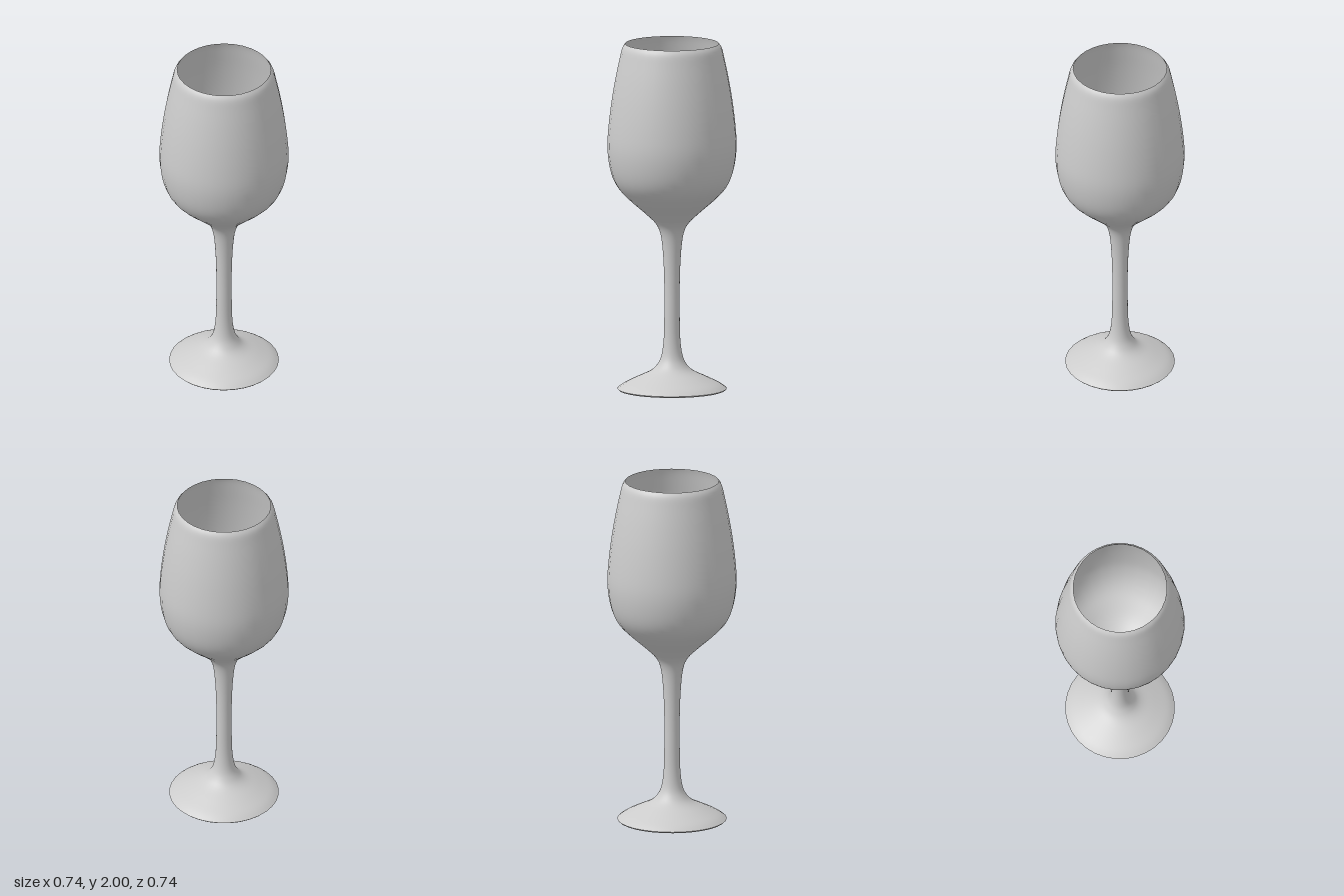
import * as THREE from 'three';

const SIDES = 32;
const material = new THREE.MeshStandardMaterial({ color: 0xcccccc });

// Revolves a smooth curve through [radius, height] points
function turned(name, profile, steps) {
  const pts = profile.map(([r, y]) => new THREE.Vector2(r, y));
  const curve = steps ? new THREE.SplineCurve(pts).getPoints(steps) : pts;
  curve.forEach((p) => { p.x = Math.max(p.x, 0); });
  const mesh = new THREE.Mesh(new THREE.LatheGeometry(curve, SIDES), material);
  mesh.name = name;
  return mesh;
}

export function createModel() {
  const glass = new THREE.Group();
  glass.name = 'wineGlass';

  // Flat underside and thin edge of the foot
  glass.add(turned('footUnderside', [[0, 0], [0.305, 0]]));
  glass.add(turned('footEdge', [[0.305, 0], [0.313, 0.008]]));

  // Foot sweeping up into the stem, which flares under the bowl
  glass.add(turned('footAndStem', [
    [0.313, 0.008], [0.275, 0.035], [0.2, 0.072], [0.125, 0.108], [0.085, 0.145], [0.06, 0.2],
    [0.047, 0.3], [0.044, 0.45], [0.044, 0.6], [0.049, 0.75], [0.06, 0.87], [0.078, 0.935], [0.108, 0.978],
  ], 48));

  // Outer wall of the bowl, narrowing to the rim
  glass.add(turned('bowlOuter', [
    [0.108, 0.978], [0.165, 1.03], [0.245, 1.1], [0.302, 1.16], [0.338, 1.225], [0.36, 1.31],
    [0.369, 1.41], [0.362, 1.53], [0.345, 1.67], [0.323, 1.8], [0.3, 1.91], [0.285, 1.972], [0.267, 2],
  ], 48));

  // Inner wall of the bowl, from the rim down to a rounded bottom
  glass.add(turned('bowlInner', [
    [0.267, 2], [0.277, 1.968], [0.291, 1.905], [0.314, 1.795], [0.336, 1.665], [0.353, 1.53],
    [0.36, 1.41], [0.351, 1.315], [0.329, 1.235], [0.293, 1.17], [0.238, 1.112], [0.16, 1.045], [0.08, 1.005], [0, 0.995],
  ], 48));

  return glass;
}
